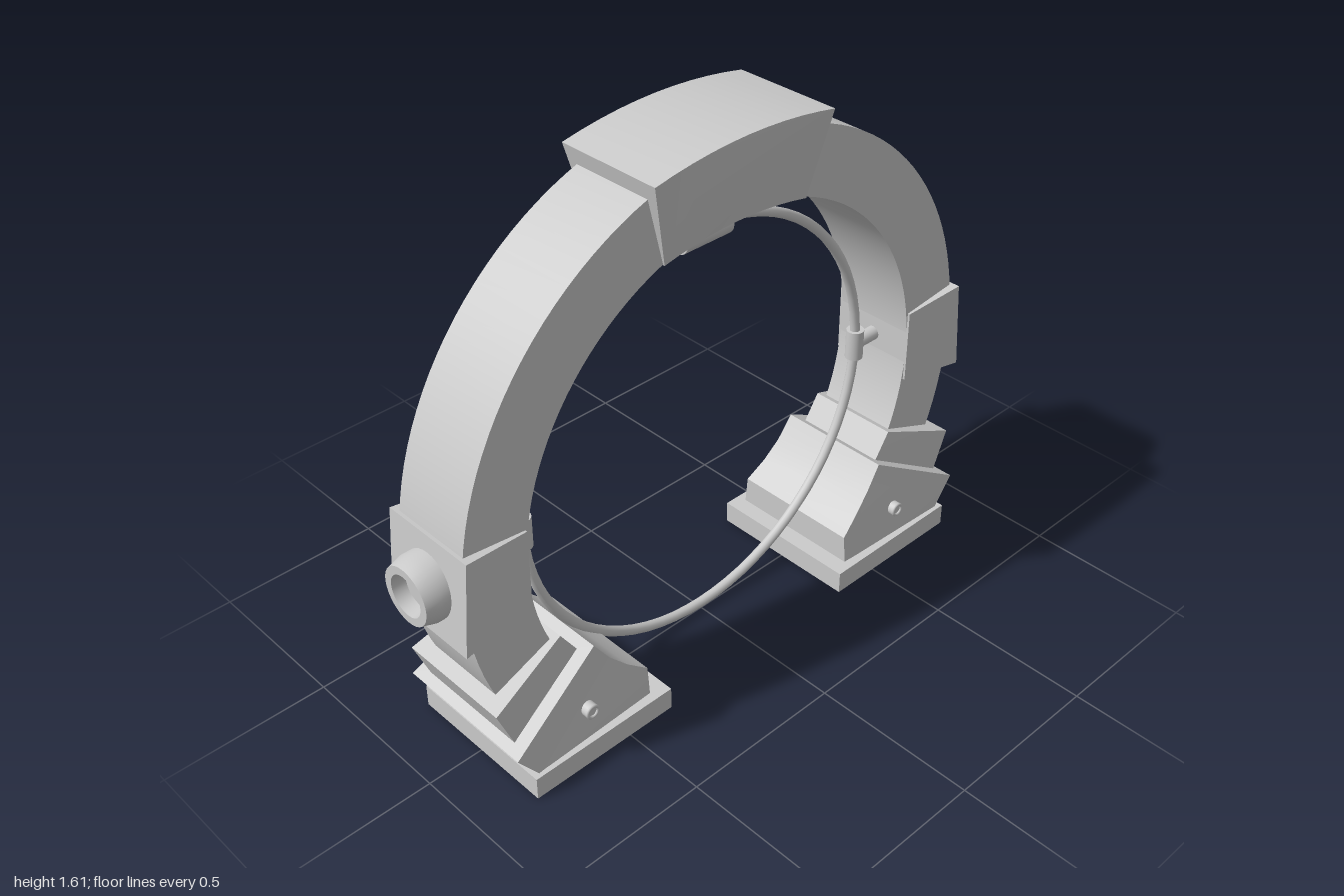
import * as THREE from 'three';
import { toCreasedNormals } from 'three/addons/utils/BufferGeometryUtils.js';

const CY = 0.66; // height of the ring centre
const grey = new THREE.MeshStandardMaterial({ color: 0xcccccc });
const greyThin = new THREE.MeshStandardMaterial({ color: 0xcccccc, side: THREE.DoubleSide });

function add(parent, name, geometry, x = 0, y = 0, z = 0, material = grey) {
  const mesh = new THREE.Mesh(geometry, material);
  mesh.name = name;
  mesh.position.set(x, y, z);
  parent.add(mesh);
  return mesh;
}

// Solid from an outline of [x, y, halfDepth] corners, so its depth may taper
function taperedSolid(outline, s = 1) {
  let pts = outline.map(([x, y, h]) => [x * s, y, h]);
  const flat = (p) => p.map(([x, y]) => new THREE.Vector2(x, y));
  if (THREE.ShapeUtils.isClockWise(flat(pts))) pts = pts.reverse();
  const n = pts.length, pos = [], index = [];
  for (const side of [1, -1]) pts.forEach(([x, y, h]) => pos.push(x, y, h * side));
  for (const [a, b, c] of THREE.ShapeUtils.triangulateShape(flat(pts), [])) {
    index.push(a, b, c, n + a, n + c, n + b);
  }
  for (let i = 0; i < n; i++) {
    const j = (i + 1) % n;
    index.push(i, n + i, n + j, i, n + j, j);
  }
  const g = new THREE.BufferGeometry();
  g.setAttribute('position', new THREE.Float32BufferAttribute(pos, 3));
  g.setIndex(index);
  return toCreasedNormals(g, 0.35);
}

function rod(radius, length, axis) {
  const g = new THREE.CylinderGeometry(radius, radius, length, 20);
  if (axis === 'x') g.rotateZ(Math.PI / 2);
  if (axis === 'z') g.rotateX(Math.PI / 2);
  return g;
}

export function createModel() {
  const model = new THREE.Group();
  model.name = 'ringGate';

  // Main arch, open at the bottom
  const start = -0.56, end = Math.PI + 0.56;
  const shape = new THREE.Shape();
  shape.absarc(0, 0, 0.92, start, end, false);
  shape.absarc(0, 0, 0.722, end, start, true);
  const arch = new THREE.ExtrudeGeometry(shape, { depth: 0.254, bevelEnabled: false, curveSegments: 40 });
  arch.translate(0, 0, -0.127);
  add(model, 'arch', toCreasedNormals(arch, 0.35), 0, CY, 0);

  // Keystone block at the top, narrower below
  const keystone = [];
  for (let i = -5; i <= 5; i++) {
    const t = i / 5;
    keystone.push([0.308 * t, 1.612 - 0.032 * t * t, 0.166]);
  }
  for (let i = 5; i >= -5; i--) {
    const t = i / 5;
    keystone.push([0.25 * t, 1.363 - 0.028 * t * t, 0.132]);
  }
  add(model, 'keystone', taperedSolid(keystone));

  // Thin inner ring with its top clamp
  add(model, 'innerRing', new THREE.TorusGeometry(0.637, 0.015, 12, 72), 0, CY, 0);
  add(model, 'topClamp', rod(0.038, 0.166, 'x'), 0, 1.285, 0);
  add(model, 'topPin', rod(0.022, 0.08, 'y'), 0, 1.335, 0);

  for (const s of [1, -1]) {
    const side = new THREE.Group();
    side.name = s > 0 ? 'leftSide' : 'rightSide';
    model.add(side);

    // Block at mid height with a hollow round socket
    add(side, 'sideBlock', taperedSolid([
      [0.92, 0.8, 0.154], [0.72, 0.778, 0.134], [0.72, 0.548, 0.134], [0.945, 0.516, 0.154],
    ], s));
    const profile = [[0.095, 0], [0.095, 0.05], [0.084, 0.09], [0.06, 0.09], [0.055, 0.05], [0, 0.05]];
    const socket = new THREE.LatheGeometry(profile.map(([r, y]) => new THREE.Vector2(r, y)), 32);
    socket.rotateZ(-s * Math.PI / 2);
    add(side, 'socket', toCreasedNormals(socket, 0.5), s * 0.91, 0.655, 0, greyThin);
    add(side, 'socketPin', rod(0.022, 0.02, 'x'), s * 0.965, 0.655, 0);

    // Clamp and pin holding the inner ring
    add(side, 'sideClamp', rod(0.027, 0.095, 'y'), s * 0.637, 0.655, 0);
    add(side, 'sidePin', rod(0.022, 0.11, 'x'), s * 0.685, 0.655, 0);

    // Collar and foot, both deeper towards the outside
    add(side, 'collar', taperedSolid([
      [0.893, 0.297, 0.18], [0.647, 0.396, 0.145], [0.59, 0.31, 0.145], [0.84, 0.165, 0.18],
    ], s));
    add(side, 'foot', taperedSolid([
      [0.872, 0.158, 0.227], [0.567, 0.334, 0.182], [0.517, 0.262, 0.186], [0.462, 0.206, 0.193],
      [0.4, 0.158, 0.203], [0.4, 0.06, 0.212], [0.8, 0.06, 0.227],
    ], s));

    // Bolt on the front of the foot
    add(side, 'bolt', rod(0.022, 0.05, 'z'), s * 0.617, 0.16, 0.2);
    add(side, 'boltRim', new THREE.TorusGeometry(0.018, 0.005, 8, 20), s * 0.617, 0.16, 0.225);

    // Base slab, open underneath (the downward face is dropped)
    const base = new THREE.BoxGeometry(0.48, 0.07, 0.48);
    base.setIndex(Array.from(base.index.array).filter((_, i) => i < 18 || i > 23));
    base.clearGroups();
    add(side, 'base', base, s * 0.587, 0.035, 0, greyThin);
  }
  return model;
}
